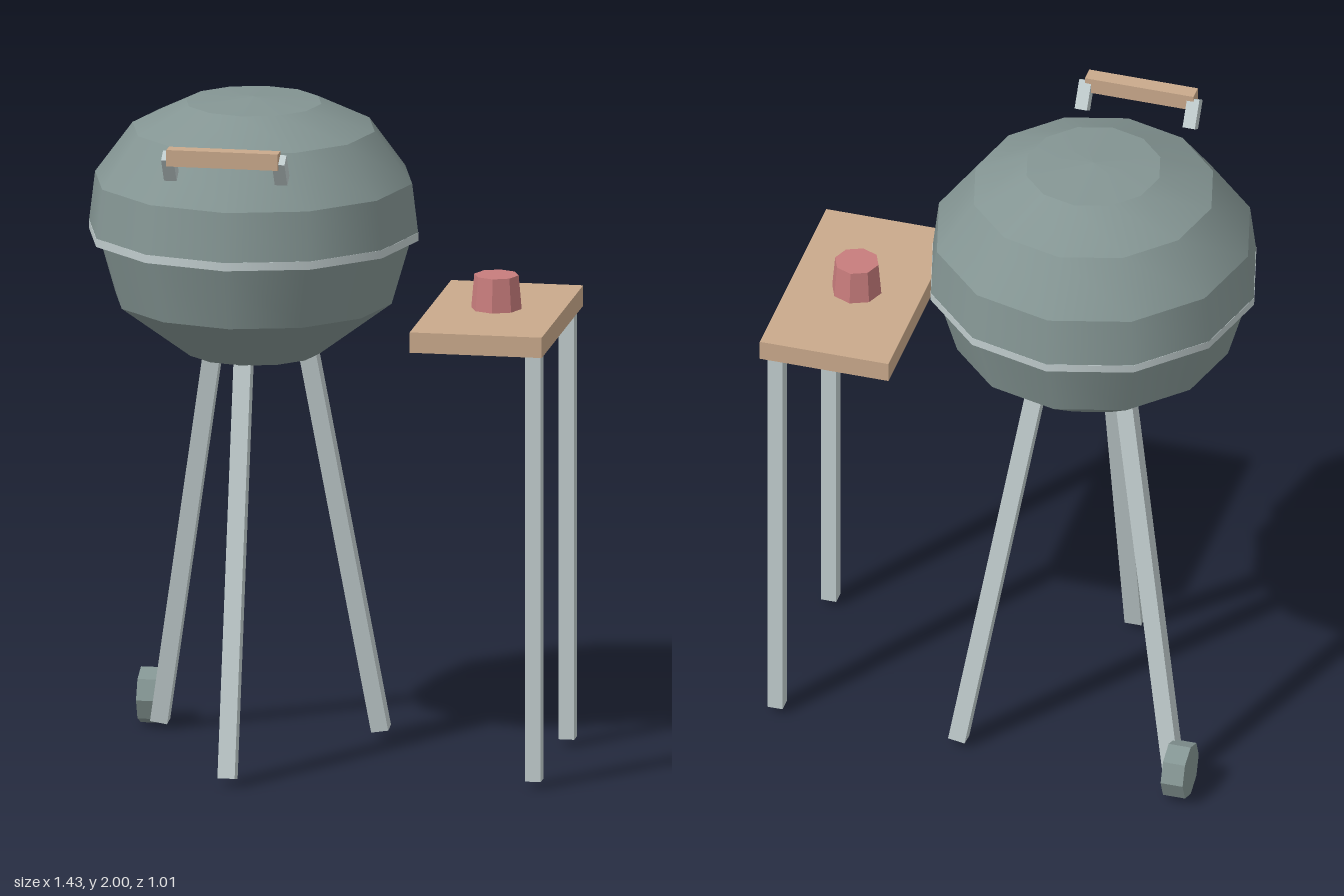
import * as THREE from 'three';

const mat = (name, color) => {
  const m = new THREE.MeshStandardMaterial({ color });
  m.name = name;
  return m;
};

export function createModel() {
  const enamel = mat('grey green enamel', 0x849593);
  const metal = mat('pale metal', 0xc0cccd);
  const wood = mat('light wood', 0xc9a98b);
  const red = mat('red', 0xc77c7c);
  const model = new THREE.Group();
  model.name = 'kettleGrill';

  const add = (name, geo, material, x = 0, y = 0, z = 0) => {
    const mesh = new THREE.Mesh(geo, material);
    mesh.name = name;
    mesh.position.set(x, y, z);
    model.add(mesh);
    return mesh;
  };
  const box = (name, m, w, h, d, x, y, z) => add(name, new THREE.BoxGeometry(w, h, d), m, x, y, z);
  const CX = -0.218, CZ = -0.01;

  // Round shells: doubled inner points give crisp bands, smooth around the axis
  const shell = (name, profile, material) => {
    const pts = [];
    profile.forEach(([r, y], i) => {
      pts.push(new THREE.Vector2(r, y));
      if (i > 0 && i < profile.length - 1) pts.push(new THREE.Vector2(r, y));
    });
    return add(name, new THREE.LatheGeometry(pts, 12), material, CX, 0, CZ);
  };
  shell('bowl', [[0, 1.19], [0.2, 1.225], [0.416, 1.385], [0.476, 1.59]], enamel);
  shell('rim', [[0.46, 1.58], [0.497, 1.58], [0.497, 1.605], [0.488, 1.605]], metal);
  shell('lid', [[0.496, 1.605], [0.478, 1.753], [0.365, 1.907], [0.204, 1.985], [0, 2]], enamel);

  // Splayed legs, from foot to bowl
  const leg = (name, fx, fz, tx, tz) => {
    const a = new THREE.Vector3(CX + fx, 0.022, CZ + fz);
    const b = new THREE.Vector3(CX + tx, 1.235, CZ + tz);
    const dir = b.clone().sub(a);
    const mesh = box(name, metal, 0.052, dir.length(), 0.052, 0, 0, 0);
    mesh.position.copy(a).add(b).multiplyScalar(0.5);
    mesh.quaternion.setFromUnitVectors(new THREE.Vector3(0, 1, 0), dir.normalize());
  };
  leg('frontLeg', 0, 0.44, 0, 0.168);
  leg('rightBackLeg', -0.333, -0.285, -0.138, -0.122);
  leg('leftBackLeg', 0.333, -0.285, 0.138, -0.122);

  // Wheel on the right back leg
  add('wheel', new THREE.CylinderGeometry(0.085, 0.085, 0.068, 8).toNonIndexed(), enamel, -0.584, 0.085, -0.347)
    .rotation.z = Math.PI / 2;

  // Lid handle with two tilted brackets
  box('handleBar', wood, 0.336, 0.05, 0.046, -0.221, 1.922, 0.483);
  for (const x of [-0.387, -0.053])
    box('handleBracket', metal, 0.038, 0.088, 0.041, x, 1.888, 0.457).rotation.x = 0.59;

  // Side table with two legs
  box('tableTop', wood, 0.398, 0.062, 0.698, 0.516, 1.354, 0.002);
  for (const z of [-0.283, 0.281])
    box('tableLeg', metal, 0.047, 1.303, 0.047, 0.68, 0.6715, z);

  // Cup on the table
  add('cup', new THREE.CylinderGeometry(0.067, 0.076, 0.102, 8), red, 0.514, 1.436, -0.01);

  // Facets on the small round parts
  for (const name of ['wheel', 'cup']) {
    const mesh = model.getObjectByName(name);
    if (mesh.geometry.index) mesh.geometry = mesh.geometry.toNonIndexed();
    mesh.geometry.computeVertexNormals();
  }
  return model;
}
